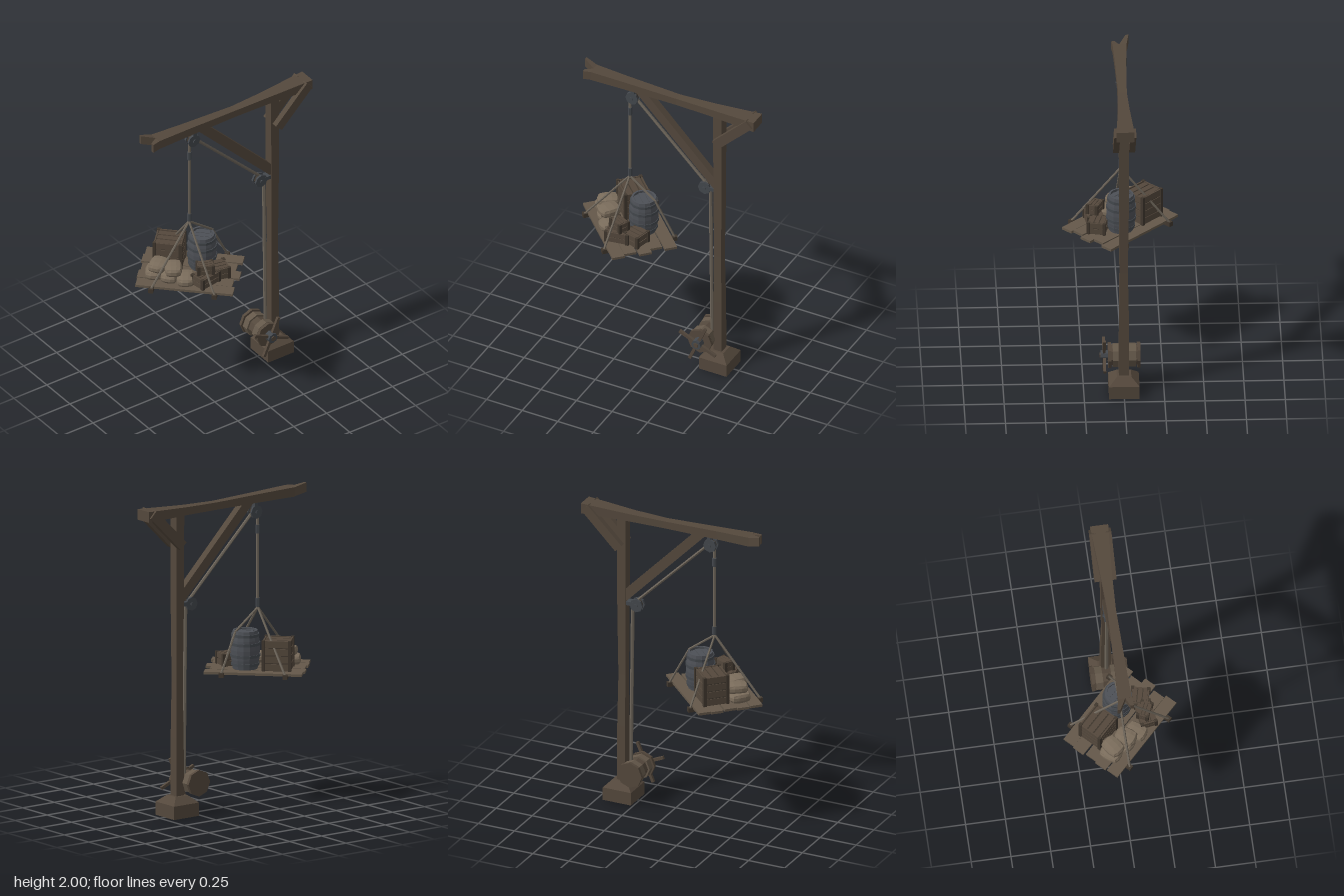
import * as THREE from 'three';

const material = (color) => new THREE.MeshStandardMaterial({ color, flatShading: true, roughness: 0.9 });
const WOOD = material(0x54483c), DARK = material(0x40372e), PLANK = material(0x64584a);
const ROPE = material(0x6c6459), IRON = material(0x43474c), CASK = material(0x4d5056), CLOTH = material(0x7b6d5c);
const V = (x, y, z) => new THREE.Vector3(x, y, z);

function add(parent, name, geometry, mat, x = 0, y = 0, z = 0) {
  const mesh = new THREE.Mesh(geometry, mat);
  mesh.name = name;
  mesh.position.set(x, y, z);
  parent.add(mesh);
  return mesh;
}

function box(parent, name, mat, w, h, d, x, y, z) {
  return add(parent, name, new THREE.BoxGeometry(w, h, d), mat, x, y, z);
}

// Straight piece between two points; sides = 4 gives a squared bar, otherwise a round one
function bar(parent, name, mat, a, b, w, d, sides = 4) {
  const length = a.distanceTo(b);
  const geometry = sides === 4 ? new THREE.BoxGeometry(w, length, d)
    : new THREE.CylinderGeometry(w / 2, w / 2, length, sides);
  const mesh = add(parent, name, geometry, mat);
  mesh.position.copy(a).lerp(b, 0.5);
  mesh.quaternion.setFromUnitVectors(V(0, 1, 0), b.clone().sub(a).normalize());
  return mesh;
}

// Hewn timber: rectangular sections [position, min1, max1, min2, max2] joined along x or y
function timber(axis, sections) {
  const rings = sections.map(([p, a0, a1, b0, b1]) =>
    [[a0, b0], [a1, b0], [a1, b1], [a0, b1]].map(([a, b]) => (axis === 'x' ? [p, a, b] : [b, p, a])));
  const out = [];
  const quad = (a, b, c, d) => out.push(...a, ...b, ...c, ...a, ...c, ...d);
  for (let i = 0; i + 1 < rings.length; i++) {
    for (let j = 0; j < 4; j++) {
      const k = (j + 1) % 4;
      quad(rings[i][j], rings[i][k], rings[i + 1][k], rings[i + 1][j]);
    }
  }
  const [s, e] = [rings[0], rings[rings.length - 1]];
  quad(s[3], s[2], s[1], s[0]);
  quad(e[0], e[1], e[2], e[3]);
  const geometry = new THREE.BufferGeometry();
  geometry.setAttribute('position', new THREE.Float32BufferAttribute(out, 3));
  geometry.computeVertexNormals();
  return geometry;
}

// Disc with its axle along z
function disc(parent, name, mat, r, depth, x, y, z, sides = 8) {
  const mesh = add(parent, name, new THREE.CylinderGeometry(r, r, depth, sides), mat, x, y, z);
  mesh.rotation.x = Math.PI / 2;
  return mesh;
}

function pulley(parent, x, y) {
  const g = new THREE.Group();
  g.name = 'pulley';
  g.position.set(x, y, 0);
  for (const s of [-1, 1]) disc(g, 'pulleyCheek', IRON, 0.044, 0.014, 0, 0, s * 0.017);
  disc(g, 'pulleySheave', DARK, 0.034, 0.022, 0, 0, 0);
  disc(g, 'pulleyAxle', IRON, 0.012, 0.062, 0, 0, 0, 6);
  parent.add(g);
  return g;
}

// Slatted box with corner posts and an open rim, standing on y = 0
function crate(parent, name, w, h, d, rows, x, y, z, turn) {
  const g = new THREE.Group();
  g.name = name;
  g.position.set(x, y, z);
  g.rotation.y = turn;
  const t = 0.009, step = h / rows;
  box(g, 'crateCore', DARK, w - 2 * t, h * 0.93, d - 2 * t, 0, h * 0.465, 0);
  for (const s of [-1, 1]) {
    for (let i = 0; i < rows; i++) {
      const sy = (i + 0.5) * step;
      box(g, 'crateSlat', WOOD, w - t, step * 0.86, t, 0, sy, s * (d / 2 - t));
      box(g, 'crateSlat', WOOD, t, step * 0.86, d - t, s * (w / 2 - t), sy, 0);
    }
    for (const q of [-1, 1]) box(g, 'cratePost', DARK, 0.02, h, 0.02, s * (w / 2 - 0.01), h / 2, q * (d / 2 - 0.01));
  }
  for (let i = -1; i <= 1; i++) box(g, 'crateLidSlat', WOOD, w - 0.03, 0.008, d * 0.22, 0, h * 0.94, i * d * 0.27);
  parent.add(g);
}

// Stuffed sack: a box whose vertices are pulled toward an ellipsoid
function sack(parent, w, h, d, x, y, z, turn) {
  const geometry = new THREE.BoxGeometry(2, 2, 2, 3, 3, 3);
  const p = geometry.attributes.position, v = V(0, 0, 0);
  for (let i = 0; i < p.count; i++) {
    v.fromBufferAttribute(p, i);
    const n = (v.x ** 4 + v.y ** 4 + v.z ** 4) ** 0.25;
    p.setXYZ(i, v.x / n * w / 2, v.y / n * h / 2, v.z / n * d / 2);
  }
  geometry.computeVertexNormals();
  add(parent, 'sack', geometry, CLOTH, x, y, z).rotation.y = turn;
}

function barrel(parent, x, y, z) {
  const g = new THREE.Group();
  g.name = 'barrel';
  g.position.set(x, y, z);
  const radius = (h) => 0.078 + 0.014 * (1 - ((h - 0.122) / 0.122) ** 2);
  const profile = [[0, 0], [0.078, 0]];
  for (const h of [0.06, 0.122, 0.184, 0.244]) profile.push([radius(h), h]);
  profile.push([0.066, 0.244], [0.066, 0.228], [0, 0.228]);
  add(g, 'barrelBody', new THREE.LatheGeometry(profile.map(([r, h]) => new THREE.Vector2(r, h)), 14), CASK);
  for (const h of [0.03, 0.085, 0.16, 0.215]) {
    const r = radius(h) + 0.004;
    add(g, 'barrelHoop', new THREE.CylinderGeometry(r, r, 0.018, 14), IRON, 0, h, 0);
  }
  // The two lower lid boards
  for (const s of [-1, 0, 1]) box(g, 'lidBoard', CASK, s ? 0.09 : 0.12, 0.006, 0.034, 0, 0.23, s * 0.038);
  parent.add(g);
}

export function createModel() {
  const model = new THREE.Group();
  model.name = 'cargoCrane';

  // Footing and post
  add(model, 'footing', timber('y', [
    [0, -0.095, 0.095, 0.265, 0.46], [0.085, -0.095, 0.095, 0.265, 0.46], [0.13, -0.045, 0.045, 0.315, 0.41],
  ]), WOOD);
  add(model, 'post', timber('y', [
    [0.1, -0.032, 0.032, 0.335, 0.393], [0.5, -0.031, 0.031, 0.336, 0.391], [0.85, -0.024, 0.028, 0.338, 0.386],
    [1.3, -0.03, 0.03, 0.334, 0.391], [1.94, -0.032, 0.032, 0.332, 0.393],
  ]), WOOD);

  // Jib beam with a split end
  add(model, 'jibBeam', timber('x', [
    [-0.525, 1.918, 1.978, -0.046, 0.042], [-0.3, 1.917, 1.972, -0.036, 0.034], [0.07, 1.915, 1.962, -0.028, 0.026],
    [0.3, 1.917, 1.967, -0.038, 0.034], [0.63, 1.915, 1.983, -0.058, 0.056],
  ]), WOOD);
  add(model, 'splitEndBack', timber('x', [
    [-0.605, 1.94, 2.0, -0.06, -0.042], [-0.525, 1.92, 1.978, -0.046, 0],
  ]), WOOD);
  add(model, 'splitEndFront', timber('x', [
    [-0.575, 1.913, 1.972, 0.026, 0.048], [-0.525, 1.918, 1.977, 0, 0.042],
  ]), WOOD);

  // Braces
  bar(model, 'longBrace', WOOD, V(-0.19, 1.935, 0), V(0.35, 1.385, 0), 0.062, 0.05);
  for (const s of [-1, 1]) bar(model, 'shortBrace', WOOD, V(0.365, 1.73, s * 0.05), V(0.6, 1.963, s * 0.05), 0.062, 0.038);

  // Pulleys and hoisting rope
  pulley(model, -0.245, 1.855);
  pulley(model, 0.265, 1.34);
  box(model, 'pulleyHanger', IRON, 0.025, 0.06, 0.05, -0.24, 1.9, 0);
  box(model, 'pulleyBracket', IRON, 0.06, 0.025, 0.05, 0.31, 1.345, 0);
  bar(model, 'slantedRope', ROPE, V(-0.225, 1.85, 0), V(0.28, 1.355, 0), 0.02, 0, 6);
  bar(model, 'winchRope', ROPE, V(0.298, 1.34, 0), V(0.31, 0.25, 0), 0.023, 0, 6);
  bar(model, 'loadRope', ROPE, V(-0.268, 1.86, 0), V(-0.268, 1.24, 0), 0.018, 0, 6);
  for (const y of [1.74, 1.272]) add(model, 'ropeClamp', new THREE.CylinderGeometry(0.014, 0.014, 0.055, 6), IRON, -0.268, y, 0);

  // Winch
  const winch = new THREE.Group();
  winch.name = 'winch';
  winch.position.set(0.27, 0.21, 0);
  model.add(winch);
  for (const z of [-0.095, 0.086]) disc(winch, 'winchFlange', WOOD, 0.085, 0.02, 0, 0, z);
  disc(winch, 'winchDrum', WOOD, 0.066, 0.17, 0, 0, -0.005);
  for (const z of [-0.055, 0.045]) disc(winch, 'ropeCoil', PLANK, 0.078, 0.045, 0, 0, z);
  disc(winch, 'crankHub', IRON, 0.033, 0.05, 0, 0, 0.118);
  disc(winch, 'crankCap', WOOD, 0.018, 0.012, 0, 0, 0.142, 6);
  for (let i = 0; i < 4; i++) {
    const a = 1.16 + i * Math.PI / 2, c = Math.cos(a), s = Math.sin(a);
    bar(winch, 'crankSpoke', WOOD, V(c * 0.02, s * 0.02, 0.12), V(c * 0.138, s * 0.138, 0.12), 0.019, 0.018);
  }

  // Hanging platform, turned a eighth of a circle
  const load = new THREE.Group();
  load.name = 'hangingLoad';
  load.position.set(-0.27, 0, 0);
  load.rotation.y = -Math.PI / 4;
  model.add(load);
  const shift = [0.006, -0.012, 0.012, -0.008, 0.004];
  for (let i = 0; i < 5; i++) {
    box(load, 'platformPlank', PLANK, 0.61 + shift[i], 0.016, 0.08, shift[i], 0.858, (i - 2) * 0.085).rotation.y = shift[i];
  }
  for (const sx of [-1, 1]) {
    box(load, 'platformBearer', DARK, 0.03, 0.014, 0.49, sx * 0.2, 0.844, 0);
    for (const sz of [-1, 1]) {
      box(load, 'slingLug', DARK, 0.03, 0.022, 0.03, sx * 0.2, 0.855, sz * 0.23);
      // The sling next to the barrel bends over its rim
      const bend = sx > 0 && sz < 0 ? V(0.125, 1.108, -0.125) : V(sx * 0.1, 1.05, sz * 0.115);
      bar(load, 'slingRope', ROPE, V(0, 1.24, 0), bend, 0.015, 0, 6);
      bar(load, 'slingRope', ROPE, bend, V(sx * 0.2, 0.86, sz * 0.23), 0.015, 0, 6);
    }
  }

  // Cargo
  barrel(load, 0.07, 0.866, -0.07);
  crate(load, 'largeCrate', 0.185, 0.195, 0.17, 4, -0.135, 0.866, -0.065, 0);
  crate(load, 'lowCrate', 0.16, 0.075, 0.11, 2, 0.125, 0.866, 0.11, 0.95);
  crate(load, 'lowCrate', 0.12, 0.08, 0.12, 2, 0.19, 0.866, 0.015, 0.55);
  crate(load, 'topCrate', 0.11, 0.065, 0.08, 2, 0.12, 0.942, 0.105, 0.35);
  for (const [x, y, z, turn] of [
    [-0.205, 0.897, 0.09, 0.1], [-0.1, 0.897, 0.11, -0.1], [-0.0, 0.897, 0.13, 0.15],
    [-0.18, 0.948, 0.085, -0.15], [-0.08, 0.948, 0.11, 0.2],
  ]) sack(load, 0.108, 0.064, 0.135, x, y, z, turn);

  return model;
}
